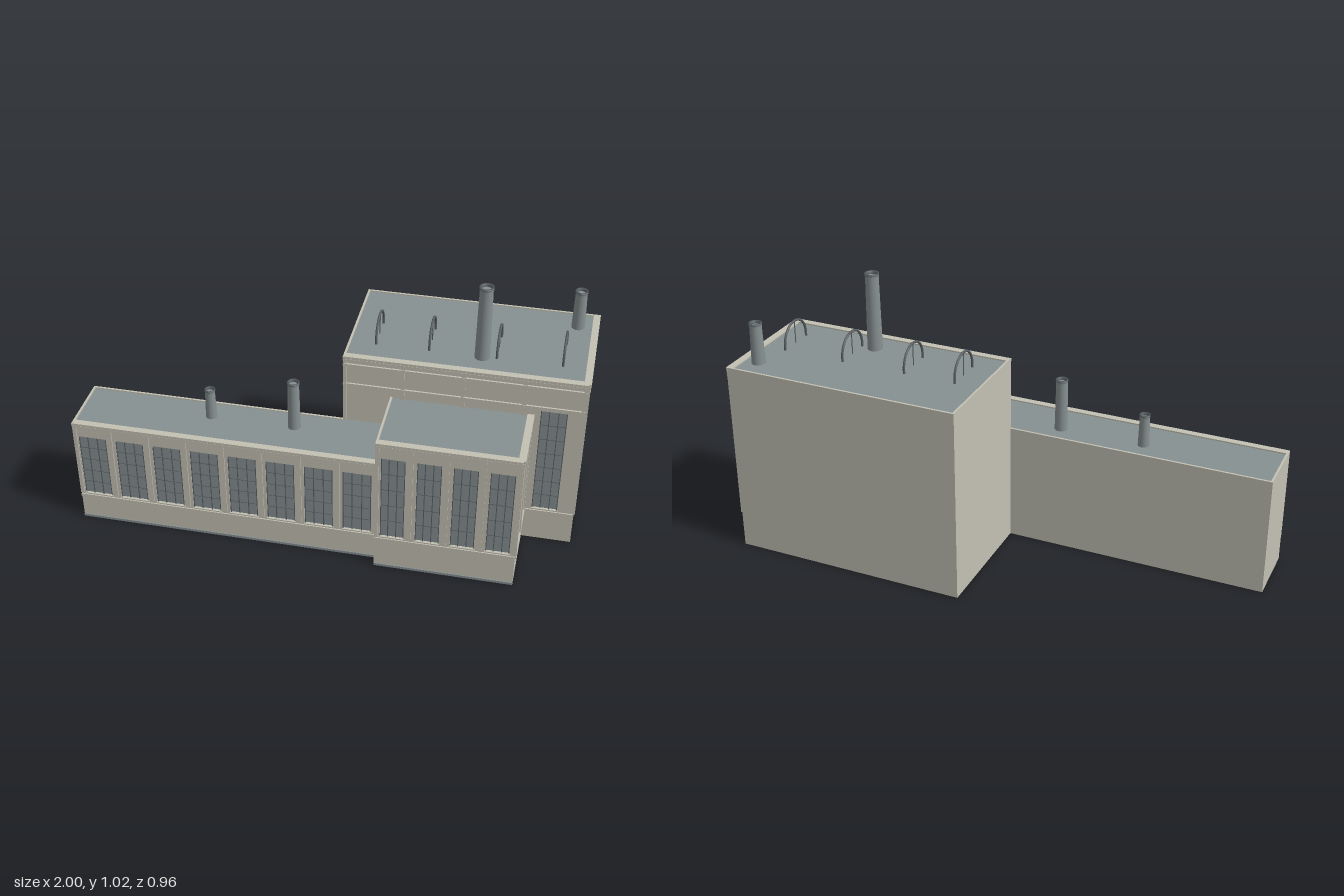
import * as THREE from 'three';

const mat = (name, color) => {
  const m = new THREE.MeshStandardMaterial({ color });
  m.name = name;
  return m;
};

export function createModel() {
  const stone = mat('stone', 0xc3c0b3);
  const slate = mat('slate', 0x879091);
  const iron = mat('dark iron', 0x596064);
  slate.side = THREE.DoubleSide;
  const WALL = 0.008;

  const model = new THREE.Group();
  model.name = 'factory';
  const site = new THREE.Group();
  site.name = 'site';
  site.rotation.y = THREE.MathUtils.degToRad(-22.2);
  model.add(site);

  const add = (parent, name, geometry, material, x = 0, y = 0, z = 0) => {
    const m = new THREE.Mesh(geometry, material);
    m.name = name;
    m.position.set(x, y, z);
    parent.add(m);
    return m;
  };
  // box given by its minimum and maximum corners
  const box = (parent, name, material, x0, x1, y0, y1, z0, z1) =>
    add(parent, name, new THREE.BoxGeometry(x1 - x0, y1 - y0, z1 - z0), material,
      (x0 + x1) / 2, (y0 + y1) / 2, (z0 + z1) / 2);

  // glass pane on a stone backing, with iron mullions and glazing bars
  const addWindow = (parent, cx, w, y0, y1, rows) => {
    const g = new THREE.Group();
    g.name = 'window';
    g.position.x = cx;
    parent.add(g);
    box(g, 'backing', stone, -w / 2, w / 2, y0, y1, -WALL, -WALL + 0.001);
    add(g, 'glass', new THREE.PlaneGeometry(w, y1 - y0), slate, 0, (y0 + y1) / 2, -WALL + 0.002);
    for (const t of [-0.48, -0.17, 0.17, 0.48]) {
      box(g, 'mullion', iron, t * w - 0.0015, t * w + 0.0015, y0, y1, -WALL + 0.001, -0.001);
    }
    for (let i = 1; i < rows; i++) {
      const y = y0 + (y1 - y0) * i / rows;
      box(g, 'glazingBar', iron, -w / 2, w / 2, y - 0.001, y + 0.001, -WALL + 0.001, -0.004);
    }
    box(g, 'sill', stone, -w / 2 - 0.003, w / 2 + 0.003, y0 - 0.005, y0, -WALL, 0.004);
  };

  // a wall running along local x, facing local z, with optional bays
  const wall = (name, x, z, turn, L, h, o = {}) => {
    const g = new THREE.Group();
    g.name = name;
    g.position.set(x, 0, z);
    g.rotation.y = turn * Math.PI / 2;
    site.add(g);
    const s = new THREE.Shape();
    s.moveTo(0, 0).lineTo(L, 0).lineTo(L, h).lineTo(0, h).closePath();
    const bays = o.bays || 0, pitch = L / bays;
    for (let i = 0; i < bays; i++) {
      if (o.only !== undefined && o.only !== i) continue;
      const cx = (i + 0.5) * pitch, w = o.w;
      const p = new THREE.Path();
      p.moveTo(cx - w / 2, o.y0).lineTo(cx - w / 2, o.y1)
        .lineTo(cx + w / 2, o.y1).lineTo(cx + w / 2, o.y0).closePath();
      s.holes.push(p);
      addWindow(g, cx, w, o.y0, o.y1, o.rows);
    }
    add(g, 'wallPanel', new THREE.ExtrudeGeometry(s, { depth: WALL, bevelEnabled: false }),
      stone, 0, 0, -WALL);
    if (!bays) return;
    // pilasters between the bays
    for (let i = 0; i <= bays; i++) {
      const c = THREE.MathUtils.clamp(i * pitch, 0.007, L - 0.007);
      box(g, 'pilaster', stone, c - 0.007, c + 0.007, o.pier, h - 0.012, 0, 0.005);
    }
    // base course, bands and stepped cornice
    box(g, 'baseCourse', stone, 0, L, o.y0 - 0.02, o.y0 - 0.008, 0, 0.005);
    for (const y of o.bands || []) box(g, 'band', stone, 0, L, y, y + 0.008, 0, 0.007);
    box(g, 'lowerCornice', stone, 0, L, h - 0.02, h - 0.012, 0, 0.006);
    box(g, 'cornice', stone, 0, L, h - 0.01, h, -0.018, 0.008);
    if (o.plinth) box(g, 'plinth', slate, 0, L, 0, 0.01, 0, 0.004);
  };

  const roof = (name, x0, x1, z0, z1, y) => {
    const m = add(site, name, new THREE.PlaneGeometry(x1 - x0, z1 - z0), slate,
      (x0 + x1) / 2, y - 0.005, (z0 + z1) / 2);
    m.rotation.x = -Math.PI / 2;
  };

  // main hall
  const M = { x0: -0.022, x1: 0.859, z0: -0.508, z1: -0.042, h: 0.73 };
  const mL = M.x1 - M.x0, mD = M.z1 - M.z0;
  wall('hallFront', M.x0, M.z1, 0, mL, M.h,
    { bays: 4, only: 3, w: 0.096, y0: 0.145, y1: 0.592, rows: 7, pier: 0.15, bands: [0.605, 0.69] });
  wall('hallRight', M.x1, M.z1, 1, mD, M.h,
    { bays: 5, w: 0.061, y0: 0.157, y1: 0.628, rows: 7, pier: 0.15, bands: [0.695] });
  wall('hallBack', M.x1, M.z0, 2, mL, M.h);
  wall('hallLeft', M.x0, M.z0, -1, mD, M.h);
  roof('hallRoof', M.x0, M.x1, M.z0, M.z1, M.h);

  // long low wing
  const W = { x0: -0.998, x1: 0.152, z0: -0.042, z1: 0.196, h: 0.45 };
  wall('wingFront', W.x0, W.z1, 0, W.x1 - W.x0, W.h,
    { bays: 8, w: 0.107, y0: 0.12, y1: 0.387, rows: 5, pier: 0.12, plinth: true });
  wall('wingLeft', W.x0, W.z0, -1, W.z1 - W.z0, W.h);
  wall('wingBack', M.x0, W.z0, 2, M.x0 - W.x0, W.h);
  roof('wingRoof', W.x0, W.x1, W.z0, W.z1, W.h);

  // front annex
  const A = { x0: 0.154, x1: 0.672, z0: -0.042, z1: 0.237, h: 0.573 };
  wall('annexFront', A.x0, A.z1, 0, A.x1 - A.x0, A.h,
    { bays: 4, w: 0.088, y0: 0.145, y1: 0.504, rows: 5, pier: 0.14, plinth: true });
  wall('annexRight', A.x1, A.z1, 1, A.z1 - A.z0, A.h,
    { bays: 2, w: 0.085, y0: 0.145, y1: 0.504, rows: 5, pier: 0.14 });
  wall('annexLeft', A.x0, A.z0, -1, A.z1 - A.z0, A.h);
  roof('annexRoof', A.x0, A.x1, A.z0, A.z1, A.h);

  // tapered chimneys with a shallow open top: x, z, base height, top height, radius
  for (const [x, z, y0, y1, r] of [
    [-0.505, 0.044, 0.444, 0.568, 0.021], [-0.188, 0.042, 0.444, 0.645, 0.024],
    [0.468, -0.145, 0.724, 1.018, 0.028], [0.789, -0.418, 0.724, 0.88, 0.025],
  ]) {
    const h = y1 - y0;
    const profile = [[r, 0], [r * 0.87, h - 0.012], [r * 0.93, h - 0.01], [r * 0.93, h - 0.002]];
    add(site, 'chimney', new THREE.LatheGeometry(profile.map(p => new THREE.Vector2(...p)), 20),
      slate, x, y0, z);
    const lip = [[r * 0.95, -0.006], [r * 0.95, 0], [r * 0.68, 0], [r * 0.68, -0.012]];
    add(site, 'chimneyLip', new THREE.LatheGeometry(lip.map(p => new THREE.Vector2(...p)), 20),
      iron, x, y1, z);
    const floor = add(site, 'chimneyThroat', new THREE.CircleGeometry(r * 0.7, 20), slate, x, y1 - 0.011, z);
    floor.rotation.x = -Math.PI / 2;
  }

  // iron hoops with a central post on the hall roof
  for (const x of [0.079, 0.275, 0.521, 0.758]) {
    const g = new THREE.Group();
    g.name = 'roofHoop';
    g.position.set(x, 0.724, -0.218);
    g.rotation.y = Math.PI / 2;
    site.add(g);
    const R = 0.072, t = 0.0045, leg = 0.016;
    add(g, 'hoop', new THREE.TorusGeometry(R, t, 8, 24, Math.PI), iron, 0, leg, 0);
    for (const s of [-1, 1]) {
      add(g, 'hoopLeg', new THREE.CylinderGeometry(t, t, leg, 8), iron, s * R, leg / 2, 0);
    }
    add(g, 'hoopPost', new THREE.CylinderGeometry(0.002, 0.002, R + leg, 6), iron, 0, (R + leg) / 2, 0);
  }
  return model;
}
